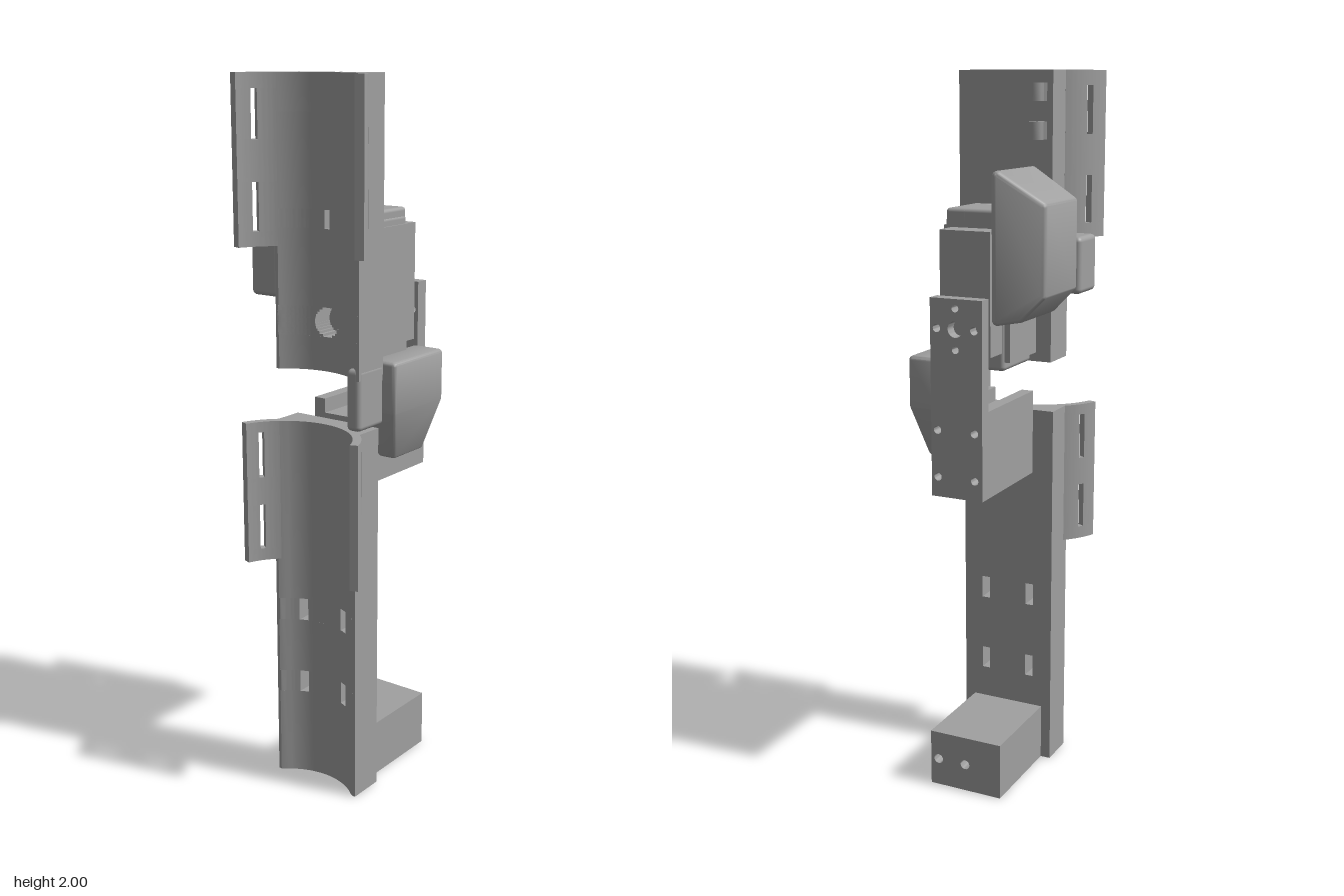
import * as THREE from 'three';
import { toCreasedNormals } from 'three/addons/utils/BufferGeometryUtils.js';
import { RoundedBoxGeometry } from 'three/addons/geometries/RoundedBoxGeometry.js';
import { ConvexGeometry } from 'three/addons/geometries/ConvexGeometry.js';

const CX = -0.317, CZ = 0.004; // axis of the limb channel

export function createModel() {
  const model = new THREE.Group();
  const grey = new THREE.MeshStandardMaterial({ color: 0xa0a0a0 });
  grey.name = 'plain grey';

  const add = (name, geometry, parent = model) => {
    const mesh = new THREE.Mesh(geometry, grey);
    mesh.name = name;
    parent.add(mesh);
    return mesh;
  };
  const group = (name) => {
    const g = new THREE.Group();
    g.name = name;
    model.add(g);
    return g;
  };
  // Box from its limits, with optional rounding
  const box = (name, x0, x1, y0, y1, z0, z1, r = 0, parent = model) => {
    const s = [x1 - x0, y1 - y0, z1 - z0];
    const g = r ? new RoundedBoxGeometry(...s, 3, r) : new THREE.BoxGeometry(...s);
    g.translate((x0 + x1) / 2, (y0 + y1) / 2, (z0 + z1) / 2);
    return add(name, g, parent);
  };
  // Plan shape (x, -z) raised from y0 to y1
  const raise = (shape, y0, y1) => {
    const g = new THREE.ExtrudeGeometry(shape, { depth: y1 - y0, bevelEnabled: false, curveSegments: 16 });
    g.rotateX(-Math.PI / 2).translate(0, y0, 0);
    return toCreasedNormals(g, 0.5);
  };
  const circle = (x, y, r) => new THREE.Path().absarc(x, y, r, 0, Math.PI * 2, true);

  // Ring sector in plan, angles in degrees from +x towards +z
  const sector = (cx, cz, r0, r1, a0, a1, y0, y1) => {
    const pts = [], n = 18;
    for (const [r, from, to] of [[r1, a0, a1], [r0, a1, a0]]) {
      for (let i = 0; i <= n; i++) {
        const a = THREE.MathUtils.degToRad(from + (to - from) * i / n);
        pts.push(new THREE.Vector2(cx + r * Math.cos(a), -cz - r * Math.sin(a)));
      }
    }
    return raise(new THREE.Shape(pts), y0, y1);
  };

  // Piece of a channelled bar between two z limits
  const channelPiece = (R, x0, x1, za, zb) => {
    const pts = [new THREE.Vector2(x1, -za), new THREE.Vector2(x1, -zb)];
    const n = 32;
    for (let i = 0; i <= n; i++) {
      const z = zb + (za - zb) * i / n;
      const x = CX + Math.sqrt(Math.max(0, R * R - (z - CZ) ** 2));
      pts.push(new THREE.Vector2(Math.max(x0, x), -z));
    }
    return new THREE.Shape(pts);
  };
  // Channelled bar stacked from bands; each band is [top, gaps in z, vertical holes]
  const channelBar = (name, R, x0, x1, y, bands) => {
    const g = group(name);
    for (const [top, gaps = [], holes = []] of bands) {
      let za = -0.135;
      for (const [g0, g1] of [...gaps, [0.144, 0]]) {
        const shape = channelPiece(R, x0, x1, za, g0);
        holes.forEach(([hx, hz]) => shape.holes.push(circle(hx, -hz, 0.009)));
        add('barSection', raise(shape, y, top), g);
        za = g1;
      }
      y = top;
    }
  };
  const slots = [[-0.077, -0.053], [0.064, 0.088]];
  channelBar('lowerBar', 0.187, -0.18, -0.075, 0,
    [[0.255], [0.32, slots], [0.48], [0.545, slots], [1.07]]);

  // Upper bar with a round shaft opening and a small slot
  const upperBands = [[1.31]];
  for (let i = 0; i < 12; i++) {
    const t = (i + 0.5) / 6 - 1, w = 0.04 * Math.sqrt(1 - t * t);
    upperBands.push([1.31 + 0.08 * (i + 1) / 12, [[CZ - w, CZ + w]]]);
  }
  upperBands.push([1.6], [1.65, [[-0.004, 0.012]]], [1.9],
    [2, [], [[-0.083, -0.085], [-0.068, 0.003], [-0.083, 0.09]]]);
  channelBar('upperBar', 0.201, -0.165, -0.055, 1.215, upperBands);

  // Curved strap wings, each with two slots
  const wings = (name, r0, r1, a0, a1, ys) => {
    const g = group(name);
    for (const s of [1, -1]) {
      for (let i = 0; i < ys.length - 1; i++) {
        const parts = i % 2 ? [[a0, 54.3], [59.2, a1]] : [[a0, a1]];
        for (const [p, q] of parts) {
          const lim = s > 0 ? [p, q] : [-q, -p];
          add('wingSection', sector(CX, CZ, r0, r1, ...lim, ys[i], ys[i + 1]), g);
        }
      }
    }
  };
  wings('upperWings', 0.201, 0.226, 38, 71.3, [1.55, 1.59, 1.72, 1.83, 1.96, 2]);
  wings('lowerWings', 0.187, 0.21, 41, 70.5, [0.665, 0.7, 0.83, 0.91, 1.04, 1.07]);

  // Cable clips
  for (const y of [1.82, 1.92]) {
    add('cableClip', sector(-0.03, -0.1, 0.017, 0.027, -65, 235, y, y + 0.047));
  }

  // Plate drilled along x; profile given by z and y limits
  const drilled = (name, x0, x1, y0, y1, z0, z1, holes) => {
    const s = new THREE.Shape([[-z1, y0], [-z0, y0], [-z0, y1], [-z1, y1]].map((p) => new THREE.Vector2(...p)));
    holes.forEach(([z, y, r]) => s.holes.push(circle(-z, y, r)));
    const g = new THREE.ExtrudeGeometry(s, { depth: x1 - x0, bevelEnabled: false, curveSegments: 12 });
    g.rotateY(Math.PI / 2).translate(x0, 0, 0);
    add(name, toCreasedNormals(g, 0.6));
  };
  drilled('footBlock', -0.075, 0.207, 0, 0.163, -0.106, 0.114, [[0.09, 0.08, 0.014], [0.005, 0.08, 0.014]]);

  // Hinge arm and its hollow bracket
  const armHoles = [[0.005, 1.345, 0.022], [0.005, 1.4, 0.01], [0.005, 1.29, 0.01]];
  for (const z of [-0.05, 0.06]) for (const y of [0.94, 1.07, 1.345]) armHoles.push([z, y, 0.011]);
  drilled('hingeArm', 0.207, 0.246, 0.885, 1.425, -0.073, 0.079, armHoles);
  const bracket = group('bracket');
  box('backWall', -0.075, 0.207, 0.885, 1.125, -0.073, -0.038, 0, bracket);
  box('frontWall', -0.075, 0.207, 0.885, 1.125, 0.044, 0.079, 0, bracket);
  box('web', -0.075, 0.207, 0.925, 1.085, -0.038, 0.044, 0, bracket);

  // Motor housing with its cap and output shaft
  box('motorHousing', -0.055, 0.117, 1.215, 1.625, -0.075, 0.1, 0.012);
  box('housingPlate', -0.055, 0.112, 1.24, 1.6, -0.09, 0.106);
  box('gearBlock', 0.11, 0.187, 1.265, 1.595, -0.068, 0.08);
  for (const [z0, z1] of [[-0.07, -0.033], [0.033, 0.098]]) {
    box('housingCap', -0.055, 0.117, 1.59, 1.645, z0, z1, 0.01);
  }
  box('capBridge', -0.014, 0.117, 1.59, 1.645, -0.05, 0.05, 0.01);
  const shaft = add('outputShaft', new THREE.CylinderGeometry(0.05, 0.05, 0.03, 32));
  shaft.rotation.z = Math.PI / 2;
  shaft.position.set(0.197, 1.345, 0.003);

  // Rounded mounts joining the side pods to the upper bar
  box('rearMount', -0.165, -0.05, 1.41, 1.565, -0.222, -0.125, 0.014);
  box('frontMount', -0.165, -0.05, 1.075, 1.245, 0.1, 0.145, 0.014);

  // Pod: hull of small balls set at each corner, giving rounded edges
  const pod = (name, r, corners) => {
    const ball = new THREE.IcosahedronGeometry(r, 2).getAttribute('position');
    const pts = [], v = new THREE.Vector3();
    for (const c of corners) {
      for (let i = 0; i < ball.count; i++) {
        v.fromBufferAttribute(ball, i);
        pts.push(new THREE.Vector3(c[0] + v.x, c[1] + v.y, c[2] + v.z));
      }
    }
    add(name, toCreasedNormals(new ConvexGeometry(pts), 0.6));
  };
  // Rear pod profile: z, y and right limit
  const rear = [];
  for (const [z, y, x] of [[-0.083, 1.735, 0.174], [-0.198, 1.66, 0.149], [-0.198, 1.435, 0.149],
    [-0.14, 1.375, 0.16], [-0.083, 1.365, 0.174]]) {
    rear.push([-0.04, y, z], [x, y, z]);
  }
  pod('rearPod', 0.015, rear);
  // Front pod narrows towards its lower end
  const front = [];
  for (const [y, z0, z1, x0, x1] of [[1.238, 0.095, 0.17, -0.041, 0.174], [1.11, 0.095, 0.17, -0.041, 0.174],
    [0.977, 0.1, 0.138, 0.006, 0.13]]) {
    for (const z of [z0, z1]) front.push([x0, y, z], [x1, y, z]);
  }
  pod('frontPod', 0.012, front);

  return model;
}
